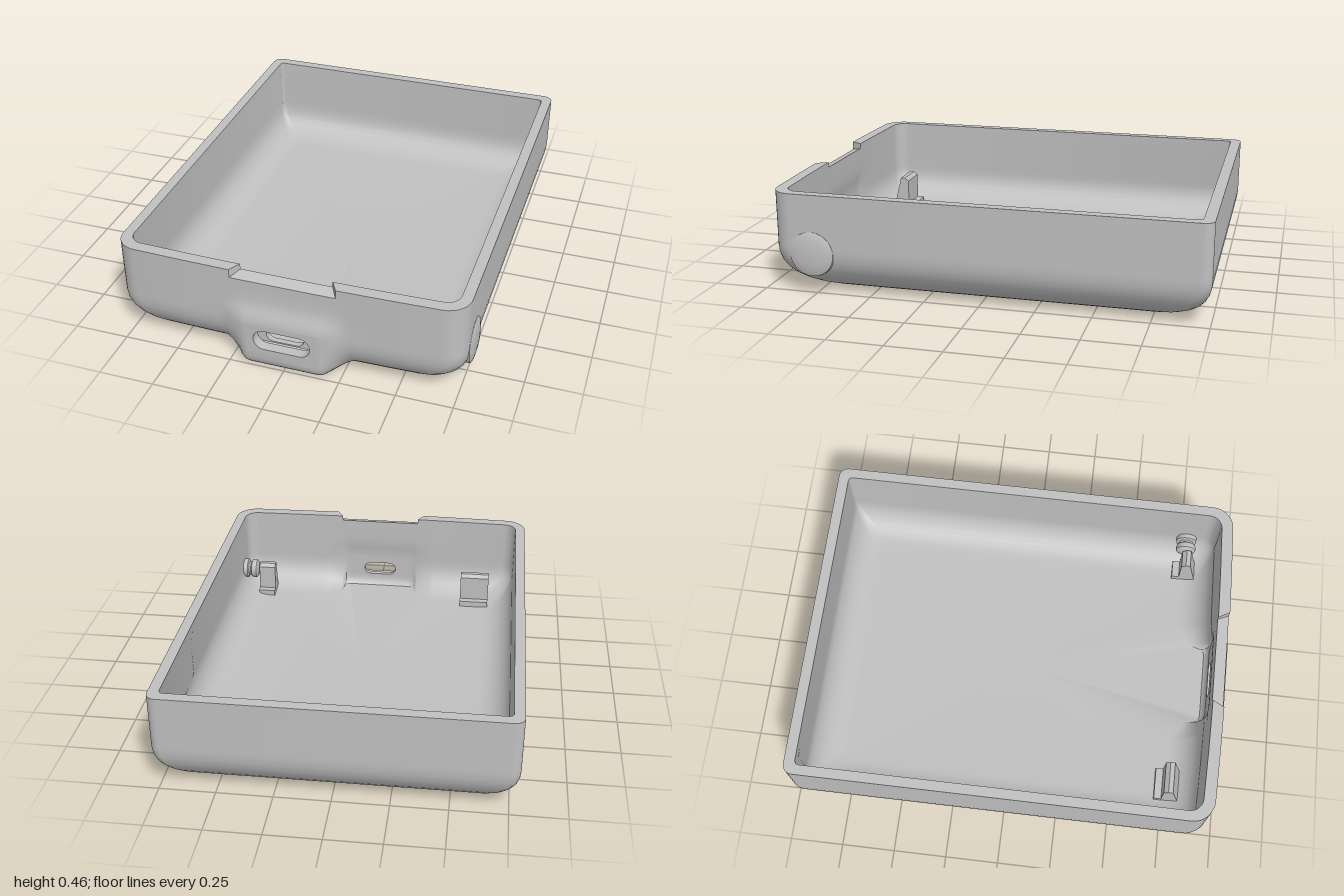
import * as THREE from 'three';
import { toCreasedNormals } from 'three/addons/utils/BufferGeometryUtils.js';

const CX = -0.0075;           // middle of the case in x
const HALF = 0.16;            // half width of the flat port area
const ROW0 = 5, ROW1 = 10;    // rows of the wall left open for the port plates
const smooth = THREE.MathUtils.smoothstep;

// Front wall columns, mirrored; the close pair makes the step of the rim notch
const side = [HALF, 0.175, 0.19, 0.235, 0.236, 0.255, 0.28, 0.3, 0.45];
const columns = [...side.map((x) => -x).reverse(), ...side];

const OUTER = { x0: -0.79, x1: 0.775, z0: -1, z1: 0.967, rFront: 0.1, rBack: 0.045,
  floor: 0, fillet: 0.2, portZ: 0.998, notchY: 0.42, notchIn: 0 };
const INNER = { x0: -0.743, x1: 0.727, z0: -0.95, z1: 0.913, rFront: 0.06, rBack: 0.02,
  floor: 0.05, fillet: 0.15, portZ: 0.925, notchY: 0.435, notchIn: 0.03 };

// One horizontal rounded-rectangle ring of a wall
function ring(s, y, inset, isRim) {
  const x0 = s.x0 + inset, x1 = s.x1 - inset, z0 = s.z0 + inset, z1 = s.z1 - inset;
  const bow = (x, z) => z - 0.015 * Math.min(1, (x / 0.75) ** 2) * smooth(z, 0.5, 0.75);
  const pts = columns.map((c) => {
    const a = Math.abs(c);
    const shift = a > 0.234 && a < 0.237 ? s.notchIn * Math.sign(c) : 0;
    // swelling around the port, rounded at its lower edge
    const b = (1 - smooth(a, HALF, 0.3)) * (1 - smooth(y, 0.22, 0.33));
    const low = Math.max(0, 1 - (y - s.floor) / 0.04);
    const target = s.portZ - 0.02 * low * low;
    const x = c + CX - shift;
    return [x, isRim && a < 0.2355 ? s.notchY : y, THREE.MathUtils.lerp(bow(x, z1), target, b)];
  });
  [[x1, z1], [x1, z0], [x0, z0], [x0, z1]].forEach(([px, pz], k) => {
    const r = (pz > 0 ? s.rFront : s.rBack) + inset * 0.5;
    const mx = px - r * Math.sign(px), mz = pz - r * Math.sign(pz);
    for (let i = 0; i <= 8; i++) {
      const t = (k + i / 8) * Math.PI / 2;
      const x = mx + r * Math.sin(t), z = mz + r * Math.cos(t);
      pts.push([x, y, bow(x, z)]);
    }
  });
  return pts;
}

// Rings from the floor up to the rim
function wall(s) {
  const rows = [];
  for (let i = 0; i <= 9; i++) {
    const a = i * Math.PI / 18;
    rows.push(ring(s, s.floor + s.fillet * (1 - Math.cos(a)), s.fillet * (1 - Math.sin(a))));
  }
  for (const y of [0.22, 0.24, 0.26, 0.28, 0.3, 0.33, 0.4]) rows.push(ring(s, y, 0));
  rows.push(ring(s, 0.46, 0, true));
  return rows;
}

// Hollow tray: outside up, over the rim, inside down, and both floors
function trayGeometry() {
  const rows = [...wall(OUTER), ...wall(INNER).reverse()];
  const n = rows[0].length, last = rows.length - 1, pos = [], idx = [];
  rows.forEach((r) => r.forEach((p) => pos.push(...p)));
  const portCol = side.length - 1;
  for (let r = 0; r < last; r++) {
    const open = (r >= ROW0 && r < ROW1) || (last - r > ROW0 && last - r <= ROW1);
    for (let c = 0; c < n; c++) {
      if (open && c === portCol) continue;
      const d = (c + 1) % n, a = r * n;
      idx.push(a + c, a + d, a + n + d, a + c, a + n + d, a + n + c);
    }
  }
  const centre = pos.length / 3;
  pos.push(CX, OUTER.floor, 0, CX, INNER.floor, 0);
  for (let c = 0; c < n; c++) {
    const d = (c + 1) % n;
    idx.push(centre, d, c, centre + 1, last * n + c, last * n + d);
  }
  const g = new THREE.BufferGeometry();
  g.setAttribute('position', new THREE.Float32BufferAttribute(pos, 3));
  g.setIndex(idx);
  return toCreasedNormals(g, 0.65);
}

// Rectangular plate with a slot-shaped hole
function portPlate(y0, y1, slotW, slotH, slotY, zBack, zFront) {
  const shape = new THREE.Shape();
  shape.moveTo(-HALF, y0).lineTo(HALF, y0).lineTo(HALF, y1).lineTo(-HALF, y1).closePath();
  const r = slotH / 2, m = slotW / 2 - r, hole = new THREE.Path();
  hole.absarc(m, slotY, r, -Math.PI / 2, Math.PI / 2, false);
  hole.absarc(-m, slotY, r, Math.PI / 2, Math.PI * 1.5, false);
  shape.holes.push(hole);
  const g = new THREE.ExtrudeGeometry(shape, { depth: zFront - zBack, bevelEnabled: false, curveSegments: 14 });
  return toCreasedNormals(g.translate(CX, 0, zBack), 0.6);
}

// Stepped post with a sloping front, profile in z and y
function postGeometry(xMin, xMax) {
  const profile = [[0.71, 0.045], [0.83, 0.045], [0.787, 0.22], [0.765, 0.22], [0.745, 0.205], [0.745, 0.08], [0.71, 0.08]];
  const shape = new THREE.Shape(profile.map((p) => new THREE.Vector2(...p)));
  const g = new THREE.ExtrudeGeometry(shape, { depth: xMax - xMin, bevelEnabled: false });
  return g.rotateY(-Math.PI / 2).translate(xMax, 0, 0);
}

// Turned part along x, profile as [radius, x]
function turned(profile, y, z) {
  const g = new THREE.LatheGeometry(profile.map((p) => new THREE.Vector2(...p)), 40);
  return toCreasedNormals(g.rotateZ(-Math.PI / 2).translate(0, y, z), 0.6);
}

export function createModel() {
  const group = new THREE.Group();
  const grey = new THREE.MeshStandardMaterial({ color: 0xc0c0c0 });
  grey.name = 'plainGrey';
  const add = (name, geometry) => {
    const mesh = new THREE.Mesh(geometry, grey);
    mesh.name = name;
    group.add(mesh);
  };

  add('trayShell', trayGeometry());

  // Port: wide recess outside, narrow slot through the inner wall
  const rowY = (s) => s.floor + s.fillet * (1 - Math.cos(ROW0 * Math.PI / 18));
  add('portRecess', portPlate(rowY(OUTER), 0.22, 0.256, 0.098, 0.145, 0.95, OUTER.portZ));
  add('portSlot', portPlate(rowY(INNER), 0.22, 0.172, 0.068, 0.145, INNER.portZ, 0.95));

  // Domed side button and the plunger behind it
  add('sideButton', turned([[0.104, 0.735], [0.105, 0.768], [0.102, 0.776], [0.09, 0.781],
    [0.065, 0.786], [0.035, 0.789], [0, 0.79]], 0.188, 0.76));
  add('buttonPlunger', turned([[0, 0.648], [0.038, 0.65], [0.048, 0.657], [0.05, 0.67], [0.046, 0.683],
    [0.036, 0.69], [0.036, 0.7], [0.05, 0.705], [0.05, 0.74]], 0.188, 0.76));

  // Inner posts
  add('rightPost', postGeometry(-0.615, -0.465));
  add('leftPost', postGeometry(0.557, 0.643));
  return group;
}
